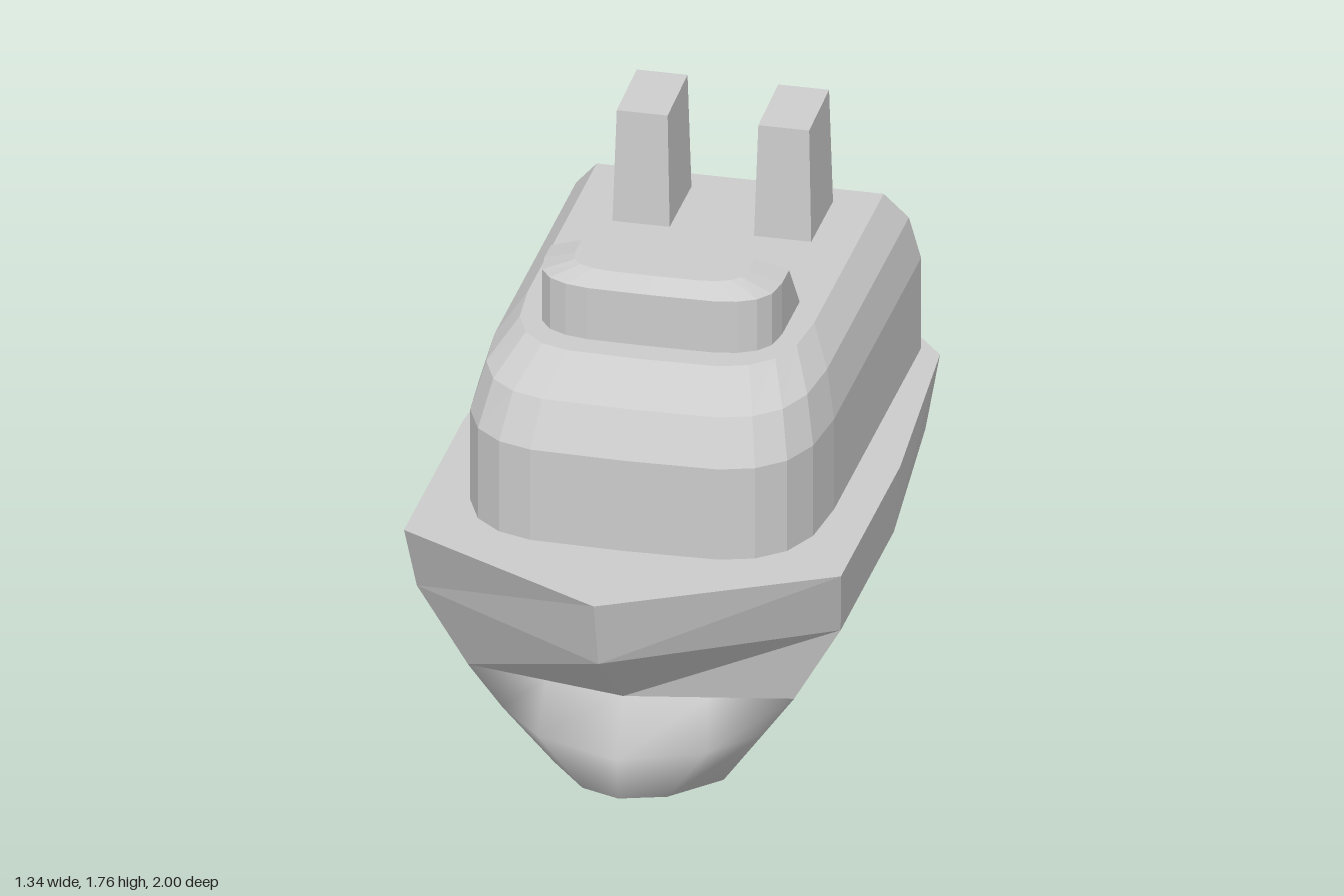
import * as THREE from 'three';
import { mergeVertices } from 'three/addons/utils/BufferGeometryUtils.js';

// Full ring from a half outline (stern to bow, last point on the centre line)
const mirror = half => half.concat(half.slice(0, -1).reverse().map(([x, y, z]) => [-x, y, z]));

// Skin a stack of rings, bottom to top, with optional flat caps
function loft(rings, { top = true, bottom = true, smooth = false } = {}) {
  const pos = [];
  const V = p => new THREE.Vector3(...p);
  const tri = (a, b, c) => {
    if (V(b).sub(V(a)).cross(V(c).sub(V(a))).length() > 1e-7) pos.push(...a, ...b, ...c);
  };
  const n = rings[0].length;
  for (let k = 0; k < rings.length - 1; k++) {
    const a = rings[k], b = rings[k + 1];
    for (let i = 0; i < n; i++) {
      const j = (i + 1) % n;
      tri(a[i], b[i], a[j]);
      tri(a[j], b[i], b[j]);
    }
  }
  const cap = (ring, up) => {
    const c = [0, 1, 2].map(d => ring.reduce((s, p) => s + p[d], 0) / n);
    for (let i = 0; i < n; i++) {
      const p = ring[i], q = ring[(i + 1) % n];
      if (up) tri(c, q, p); else tri(c, p, q);
    }
  };
  if (bottom) cap(rings[0], false);
  if (top) cap(rings[rings.length - 1], true);
  let g = new THREE.BufferGeometry();
  g.setAttribute('position', new THREE.Float32BufferAttribute(pos, 3));
  if (smooth) g = mergeVertices(g);
  g.computeVertexNormals();
  return g;
}

// Outline with square back corners and a rounded front
const FRONT = [[1, 1], [0.965, 0.55], [0.87, 0.27], [0.72, 0.1], [0.53, 0.02], [0, 0]];
const roundedRing = (y, w, front, back, depth) =>
  mirror([[w, y, back], ...FRONT.map(([fx, fz]) => [w * fx, y, front - depth * fz])]);

export function createModel() {
  const group = new THREE.Group();
  const flat = new THREE.MeshStandardMaterial({ color: 0xcccccc, flatShading: true });
  const soft = new THREE.MeshStandardMaterial({ color: 0xcccccc });
  const add = (name, geometry, material = flat) => {
    const mesh = new THREE.Mesh(geometry, material);
    mesh.name = name;
    group.add(mesh);
    return mesh;
  };

  // Faceted upper hull with pointed bow and chamfered transom
  add('upperHull', loft([
    [[0.34, 0.385, -0.935], [0.4, 0.39, -0.7], [0.49, 0.39, -0.13], [0.5, 0.39, 0.52], [0, 0.39, 0.62]],
    [[0.49, 0.65, -0.985], [0.58, 0.65, -0.83], [0.65, 0.65, -0.13], [0.65, 0.65, 0.55], [0, 0.65, 0.94]],
    [[0.52, 0.87, -1], [0.61, 0.87, -0.89], [0.67, 0.87, -0.13], [0.67, 0.87, 0.63], [0, 0.87, 1]],
  ].map(mirror)));

  // Smooth lower hull: keel, chine, belly and waterline
  add('lowerHull', loft([
    [[0, 0.08, -0.49], [0, 0.03, -0.36], [0, 0, -0.14], [0, 0, 0.41], [0, 0.04, 0.55], [0, 0.08, 0.685]],
    [[0.08, 0.12, -0.53], [0.17, 0.07, -0.4], [0.27, 0.045, -0.13], [0.26, 0.045, 0.42], [0.13, 0.06, 0.6], [0, 0.08, 0.685]],
    [[0.15, 0.27, -0.61], [0.28, 0.26, -0.5], [0.41, 0.25, -0.13], [0.4, 0.25, 0.5], [0.26, 0.24, 0.64], [0, 0.22, 0.71]],
    [[0.34, 0.385, -0.935], [0.4, 0.39, -0.7], [0.49, 0.39, -0.13], [0.5, 0.39, 0.52], [0.25, 0.39, 0.57], [0, 0.39, 0.62]],
  ].map(mirror), { top: false, bottom: false, smooth: true }), soft);

  // Main cabin with rounded front and sloping shoulders
  add('cabin', loft([
    roundedRing(0.87, 0.545, 0.615, -0.92, 0.42),
    roundedRing(1.17, 0.545, 0.615, -0.92, 0.42),
    roundedRing(1.305, 0.51, 0.54, -0.91, 0.4),
    roundedRing(1.39, 0.44, 0.37, -0.88, 0.36),
  ], { bottom: false }));

  // Bridge with a slanted rear wall
  add('bridge', loft([
    roundedRing(1.39, 0.365, 0.28, -0.115, 0.17),
    roundedRing(1.56, 0.365, 0.28, 0.02, 0.17),
    roundedRing(1.6, 0.265, 0.23, 0.045, 0.1),
  ], { bottom: false }));

  // Two tapered funnels
  for (const [name, side] of [['leftFunnel', 1], ['rightFunnel', -1]]) {
    const box = (w, yb, yf, back, front) => [[w, yb, back], [w, yf, front], [-w, yf, front], [-w, yb, back]];
    const funnel = add(name, loft([
      box(0.088, 1.38, 1.38, -0.795, -0.515),
      box(0.078, 1.765, 1.752, -0.785, -0.53),
    ]));
    funnel.position.x = side * 0.217;
  }
  return group;
}
